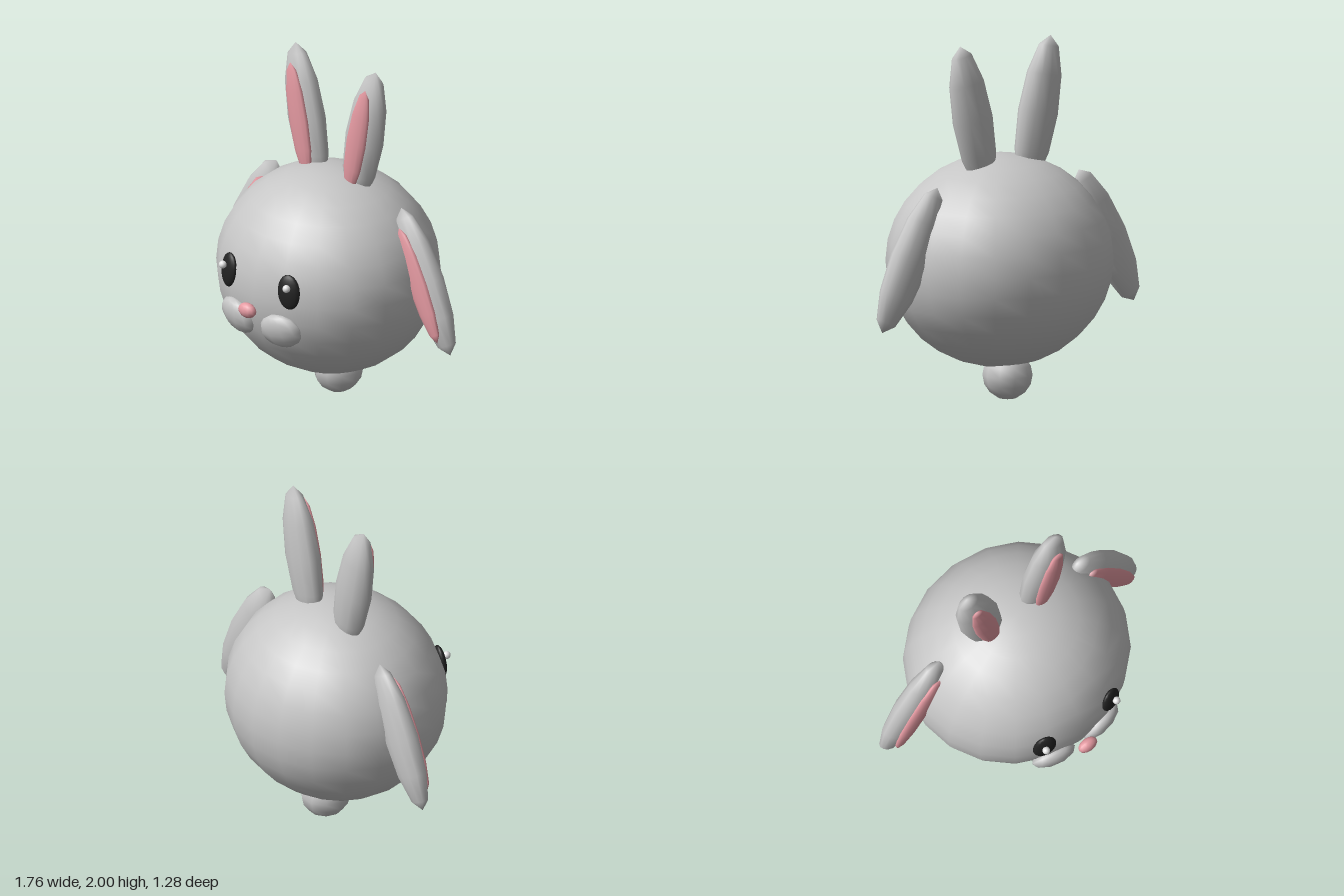
import * as THREE from 'three';

function mat(name, color) {
  const m = new THREE.MeshStandardMaterial({ color });
  m.name = name;
  return m;
}

export function createModel() {
  const fur = mat('fur grey', 0xc6c6c6);
  const pink = mat('soft pink', 0xe59aa2);
  const black = mat('eye black', 0x222222);
  const white = mat('glint white', 0xe4e4e4);
  const model = new THREE.Group();
  model.name = 'rabbit';

  // Ellipsoid with given centre, half sizes, rotation and segment counts
  function blob(parent, name, material, pos, half, rot = [0, 0, 0], w = 12, h = 8) {
    const mesh = new THREE.Mesh(new THREE.SphereGeometry(1, w, h), material);
    mesh.name = name;
    mesh.position.set(...pos);
    mesh.scale.set(...half);
    mesh.rotation.set(...rot);
    parent.add(mesh);
  }

  // Ear with its pink lining
  function ear(name, x, y, z, tilt) {
    const g = new THREE.Group();
    g.name = name;
    g.position.set(x, y, z);
    g.rotation.z = tilt;
    blob(g, 'earShell', fur, [0, 0, 0], [0.125, 0.428, 0.078], [0, 0, 0], 12, 6);
    blob(g, 'earLining', pink, [0, -0.005, 0.063], [0.07, 0.335, 0.03], [0, 0, 0], 12, 6);
    model.add(g);
  }

  // Round body and tail
  blob(model, 'body', fur, [0, 0.77, -0.045], [0.642, 0.59, 0.597], [0, 0, 0], 20, 16);
  blob(model, 'tail', fur, [0, 0.137, -0.12], [0.137, 0.137, 0.14], [0, 0, 0], 10, 8);

  // Mirrored ears and face
  for (const s of [1, -1]) {
    const side = s > 0 ? 'left' : 'right';
    ear(side + 'UprightEar', s * 0.22, 1.58, -0.1, -s * 0.2);
    ear(side + 'DroopingEar', s * 0.662, 0.848, -0.125, s * 0.45);
    blob(model, side + 'Eye', black, [s * 0.227, 0.852, 0.507], [0.068, 0.1, 0.028],
      [-0.08, s * 0.28, s * 0.1], 16, 12);
    blob(model, side + 'EyeGlint', white, [s * 0.242, 0.887, 0.542], [0.022, 0.022, 0.022]);
    blob(model, side + 'Cheek', fur, [s * 0.162, 0.6, 0.502], [0.132, 0.105, 0.058],
      [0.32, s * 0.2, s * 0.1], 10, 8);
  }

  // Nose
  blob(model, 'nose', pink, [0, 0.705, 0.6], [0.06, 0.043, 0.036]);
  return model;
}
